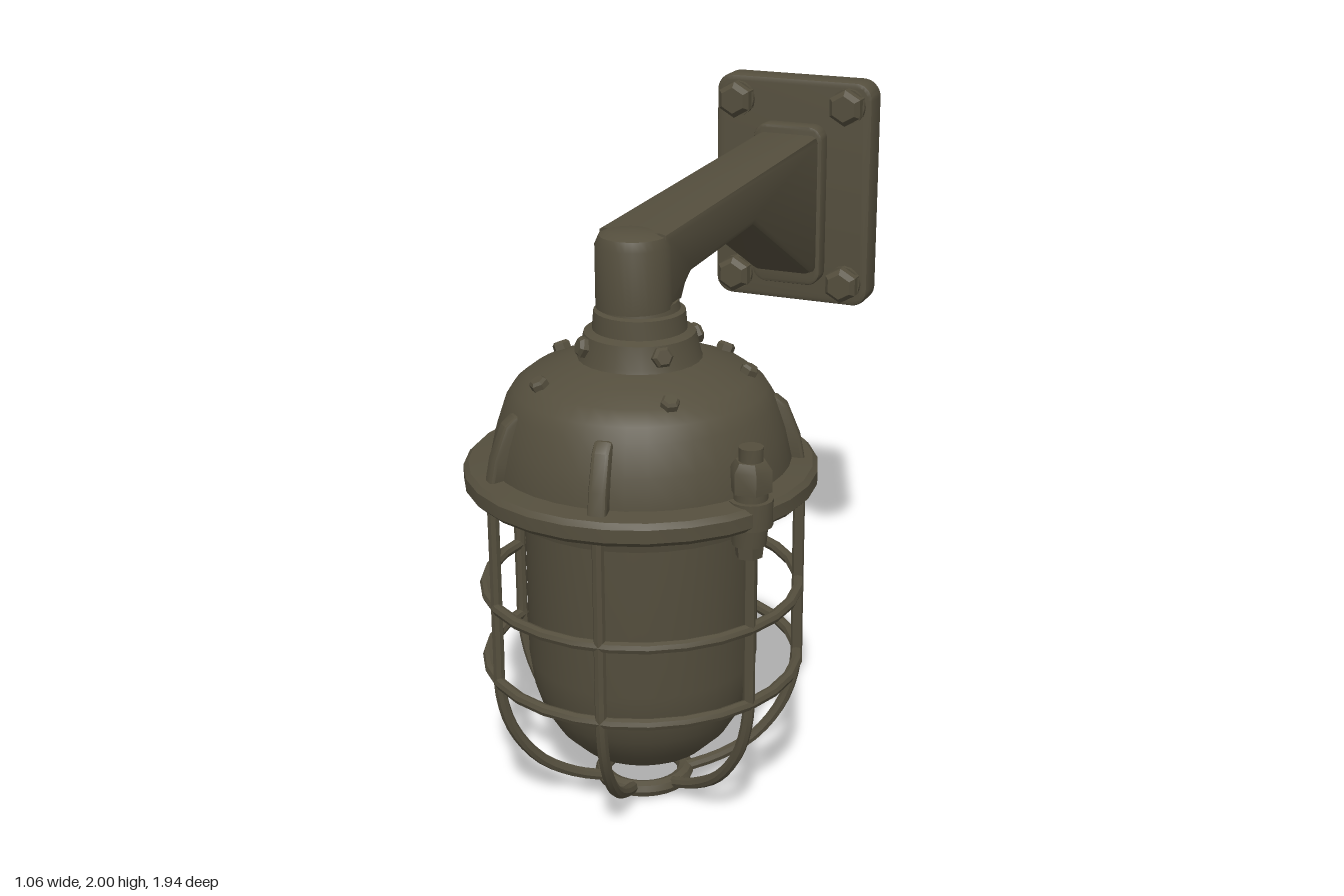
import * as THREE from 'three';
import { toCreasedNormals } from 'three/addons/utils/BufferGeometryUtils.js';

const paint = new THREE.MeshStandardMaterial({ color: 0x544e3d });
paint.name = 'olive brown paint';

const vec2 = (pts) => pts.map(([x, y]) => new THREE.Vector2(x, y));

function add(parent, name, geometry, x = 0, y = 0, z = 0) {
  const mesh = new THREE.Mesh(toCreasedNormals(geometry, 0.6), paint);
  mesh.name = name;
  mesh.position.set(x, y, z);
  parent.add(mesh);
  return mesh;
}

// Profile listed from bottom to top
const lathe = (pts, sides) => new THREE.LatheGeometry(vec2(pts), sides);

// Bevelled extrusion centred on its depth; the bevel stays inside the outline
function slab(shape, depth, bevel) {
  const g = new THREE.ExtrudeGeometry(shape, {
    depth: depth - 2 * bevel, bevelEnabled: true, bevelSize: bevel,
    bevelThickness: bevel, bevelOffset: -bevel, bevelSegments: 2, curveSegments: 5,
  });
  return g.translate(0, 0, -(depth - 2 * bevel) / 2);
}

function roundedRect(w, h, r) {
  const s = new THREE.Shape();
  s.absarc(w / 2 - r, h / 2 - r, r, 0, Math.PI / 2);
  s.absarc(r - w / 2, h / 2 - r, r, Math.PI / 2, Math.PI);
  s.absarc(r - w / 2, r - h / 2, r, Math.PI, Math.PI * 1.5);
  s.absarc(w / 2 - r, r - h / 2, r, Math.PI * 1.5, Math.PI * 2);
  return s;
}

// Hexagonal head with a chamfered top, standing on y = 0
const hexHead = (r, h) => lathe([[0, 0], [r, 0], [r, h * 0.72], [r * 0.72, h], [0, h]], 6);

// Group turned so its local +x points outward at the given angle
function spoke(parent, name, degrees) {
  const g = new THREE.Group();
  g.name = name;
  g.rotation.y = -THREE.MathUtils.degToRad(degrees);
  parent.add(g);
  return g;
}

function buildLamp() {
  const lamp = new THREE.Group();
  lamp.name = 'lamp';
  lamp.position.z = 0.44;

  // Housing, flange and globe
  add(lamp, 'dome', lathe([[0.45, 1.07], [0.45, 1.1], [0.43, 1.19], [0.4, 1.28], [0.375, 1.32],
    [0.33, 1.355], [0.25, 1.385], [0.18, 1.41], [0, 1.42]], 40));
  add(lamp, 'flange', lathe([[0, 1.02], [0.515, 1.02], [0.53, 1.035], [0.53, 1.075],
    [0.515, 1.09], [0.44, 1.1]], 28));
  add(lamp, 'lowerCollar', lathe([[0.34, 0.96], [0.42, 0.96], [0.435, 1.03]], 32));
  add(lamp, 'neck', lathe([[0.19, 1.395], [0.18, 1.42], [0.165, 1.485], [0.14, 1.495], [0.135, 1.55],
    [0.12, 1.555], [0.115, 1.58], [0, 1.58]], 28));
  add(lamp, 'globe', lathe([[0, 0.09], [0.07, 0.095], [0.14, 0.115], [0.21, 0.155], [0.27, 0.215],
    [0.315, 0.29], [0.34, 0.37], [0.352, 0.46], [0.352, 0.98]], 40));

  // Cage wires, fins and clamping bolts
  const wirePath = new THREE.CatmullRomCurve3([[0.475, 1.03], [0.475, 0.8], [0.475, 0.55], [0.472, 0.4],
    [0.435, 0.27], [0.35, 0.15], [0.24, 0.075], [0.125, 0.03]].map(([x, y]) => new THREE.Vector3(x, y, 0)));
  const finShape = new THREE.Shape(vec2([[0.35, 1.08], [0.49, 1.08], [0.475, 1.16], [0.435, 1.26],
    [0.405, 1.285], [0.35, 1.285]]));
  const bolted = [25.5, 232.5];
  const nutted = [25.5, 191, 232.5, 289];
  for (const angle of [25.5, 81, 131.5, 191, 232.5, 289, 338]) {
    const s = spoke(lamp, 'cageSpoke', angle);
    add(s, 'cageWire', new THREE.TubeGeometry(wirePath, 28, 0.018, 8));
    if (bolted.includes(angle)) {
      add(s, 'boltLug', new THREE.CylinderGeometry(0.065, 0.065, 0.08, 16), 0.475, 1.06);
      add(s, 'boltWasher', new THREE.CylinderGeometry(0.05, 0.05, 0.04, 16), 0.475, 1.115);
      add(s, 'boltNut', hexHead(0.063, 0.09), 0.475, 1.125);
      add(s, 'boltEnd', new THREE.CylinderGeometry(0.036, 0.036, 0.06, 12), 0.475, 1.225);
    } else {
      add(s, 'fin', slab(finShape, 0.055, 0.012));
    }
    if (nutted.includes(angle)) {
      add(s, 'lowerWasher', new THREE.CylinderGeometry(0.055, 0.05, 0.06, 14), 0.47, 0.99);
      add(s, 'lowerNut', new THREE.CylinderGeometry(0.045, 0.04, 0.05, 6), 0.47, 0.945);
    }
  }

  // Cage hoops and bottom ring
  for (const [y, r, t] of [[0.69, 0.478, 0.018], [0.445, 0.478, 0.018], [0.027, 0.13, 0.026]]) {
    add(lamp, 'cageHoop', new THREE.TorusGeometry(r, t, 8, 28).rotateX(Math.PI / 2), 0, y);
  }

  // Small screws on the dome shoulder and neck
  for (const angle of [-19, 51, 131, 198, 240, 300]) {
    const screw = add(spoke(lamp, 'domeScrew', angle), 'screw', hexHead(0.028, 0.03), 0.315, 1.355);
    screw.rotation.z = -0.45;
  }
  for (const angle of [45, 135, 225, 315]) {
    const screw = add(spoke(lamp, 'neckScrew', angle), 'screw', hexHead(0.032, 0.035), 0.16, 1.45);
    screw.rotation.z = -1.3;
  }
  return lamp;
}

function buildBracket() {
  const bracket = new THREE.Group();
  bracket.name = 'bracket';

  // Arm with gusset, drawn as a side profile of (z, y)
  const armShape = new THREE.Shape(vec2([[-0.84, 1.82], [0.49, 1.795], [0.49, 1.57], [0.37, 1.57],
    [0.34, 1.61], [0.3, 1.635], [-0.21, 1.65], [-0.77, 1.345], [-0.84, 1.335]]));
  add(bracket, 'arm', slab(armShape, 0.22, 0.022).rotateY(-Math.PI / 2));
  add(bracket, 'elbow', lathe([[0, 1.57], [0.112, 1.57], [0.112, 1.755], [0.1, 1.783],
    [0.075, 1.795], [0, 1.797]], 32), 0, 0, 0.478);

  // Wall plate, raised pad and corner bolts
  add(bracket, 'wallPlate', slab(roundedRect(0.565, 0.785, 0.06), 0.105, 0.015), 0, 1.608, -0.9175);
  add(bracket, 'pad', slab(roundedRect(0.25, 0.56, 0.05), 0.07, 0.01), 0, 1.57, -0.845);
  for (const x of [-0.2, 0.2]) {
    for (const y of [1.92, 1.3]) {
      add(bracket, 'plateWasher', new THREE.CylinderGeometry(0.06, 0.06, 0.02, 16).rotateX(Math.PI / 2), x, y, -0.858);
      add(bracket, 'plateBolt', hexHead(0.062, 0.065).rotateX(Math.PI / 2), x, y, -0.865);
    }
  }
  return bracket;
}

export function createModel() {
  const model = new THREE.Group();
  model.name = 'wallLamp';
  model.add(buildLamp(), buildBracket());
  return model;
}
